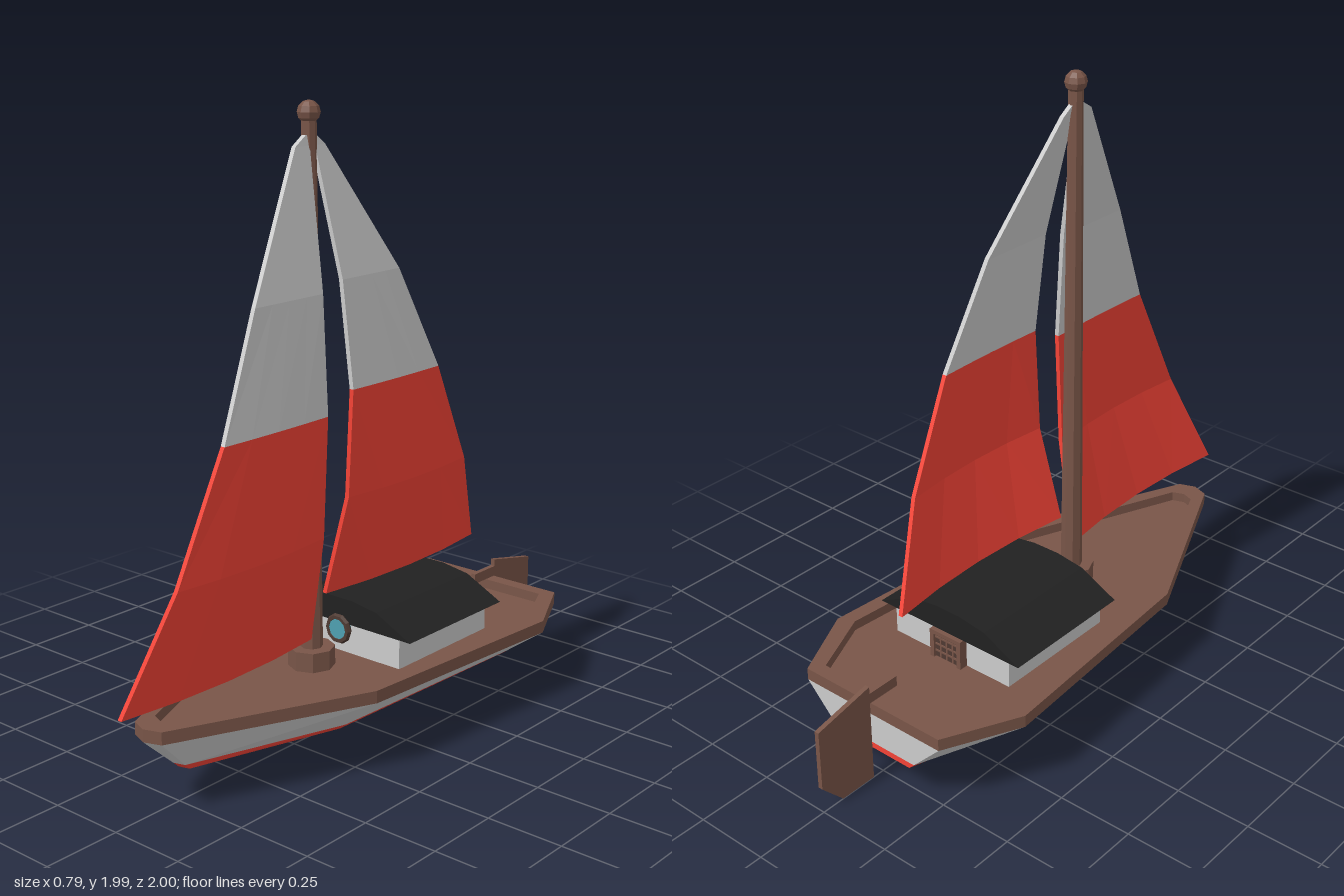
import * as THREE from 'three';

const mat = (color) => new THREE.MeshStandardMaterial({ color, flatShading: true });
const grey = mat(0xcccccc), red = mat(0xf44336), brown = mat(0x795548), black = mat(0x212121);
const teal = mat(0x4f9fb0), dark = mat(0x4e3a32);

function add(parent, name, geometry, material, x = 0, y = 0, z = 0) {
  const mesh = new THREE.Mesh(geometry, material);
  mesh.name = name;
  mesh.position.set(x, y, z);
  parent.add(mesh);
  return mesh;
}

// Closed solid through rings of equal, even length; caps pair point i with point n-1-i
function loft(rings) {
  const tris = [], n = rings[0].length;
  const quad = (a, b, c, d) => tris.push([a, b, c], [a, c, d]);
  for (let r = 0; r < rings.length - 1; r++) {
    for (let i = 0; i < n; i++) {
      const j = (i + 1) % n;
      quad(rings[r][i], rings[r][j], rings[r + 1][j], rings[r + 1][i]);
    }
  }
  const first = rings[0], last = rings[rings.length - 1];
  for (let i = 0; i < n / 2 - 1; i++) {
    quad(first[i], first[n - 1 - i], first[n - 2 - i], first[i + 1]);
    quad(last[i], last[i + 1], last[n - 2 - i], last[n - 1 - i]);
  }
  // a negative volume means the solid is inside out
  let volume = 0;
  const cross = new THREE.Vector3();
  for (const [a, b, c] of tris) volume += a.dot(cross.crossVectors(b, c));
  const points = [];
  for (const [a, b, c] of tris) {
    const area = new THREE.Vector3().subVectors(b, a).cross(cross.subVectors(c, a)).length();
    if (area > 1e-9) points.push(...(volume < 0 ? [a, c, b] : [a, b, c]));
  }
  const geometry = new THREE.BufferGeometry().setFromPoints(points);
  geometry.computeVertexNormals();
  return geometry;
}

// Half outlines [x, z] from bow to stern
const railHalf = [[0, 0.885], [0.055, 0.865], [0.335, 0.25], [0.393, -0.54], [0.272, -0.787]];
const deckHalf = [[0, 0.815], [0.04, 0.8], [0.282, 0.22], [0.34, -0.515], [0.24, -0.74]];
const chineHalf = [[0, 0.75], [0.035, 0.74], [0.19, 0.25], [0.22, -0.54], [0.15, -0.787]];
const keelHalf = [[0, 0.26], [0, 0.26], [0, 0.25], [0, -0.55], [0, -0.55]];

const ring = (half, y) => {
  const side = (s) => half.map(([x, z]) => new THREE.Vector3(s * x, y, z));
  return [...side(1), ...side(-1).reverse()];
};
const planPoints = (half) => [
  ...half.map(([x, z]) => new THREE.Vector2(x, -z)),
  ...half.slice(1).reverse().map(([x, z]) => new THREE.Vector2(-x, -z)),
];
const extrude = (shape, depth) => new THREE.ExtrudeGeometry(shape, { depth, bevelEnabled: false });

function buildHull(boat) {
  const hull = new THREE.Group();
  hull.name = 'hull';
  boat.add(hull);
  const paintLine = railHalf.map(([x, z], i) => [
    THREE.MathUtils.lerp(chineHalf[i][0], x, 0.16), THREE.MathUtils.lerp(chineHalf[i][1], z, 0.16)]);
  add(hull, 'hullSides', loft([ring(paintLine, 0.13), ring(railHalf, 0.235)]), grey);
  add(hull, 'hullBottom', loft([ring(keelHalf, 0.05), ring(chineHalf, 0.11), ring(paintLine, 0.13)]), red);
  const rail = new THREE.Shape(planPoints(railHalf));
  rail.holes.push(new THREE.Path(planPoints(deckHalf)));
  add(hull, 'rail', extrude(rail, 0.04).rotateX(-Math.PI / 2), brown, 0, 0.235, 0);
  add(hull, 'deck', extrude(new THREE.Shape(planPoints(deckHalf)), 0.012).rotateX(-Math.PI / 2), brown, 0, 0.23, 0);
}

function buildCabin(boat) {
  const cabin = new THREE.Group();
  cabin.name = 'cabin';
  boat.add(cabin);
  add(cabin, 'cabinWalls', new THREE.BoxGeometry(0.47, 0.11, 0.45), grey, 0, 0.292, -0.205);
  // Arched roof
  const arch = [[-0.285, 0.343], [0.285, 0.343], [0.15, 0.41], [0.05, 0.425], [-0.05, 0.425], [-0.15, 0.41]];
  const roof = new THREE.Shape(arch.map(([x, y]) => new THREE.Vector2(x, y)));
  add(cabin, 'roof', extrude(roof, 0.475), black, 0, 0, -0.445);
  // Round window in the front wall
  add(cabin, 'windowFrame', new THREE.TorusGeometry(0.04, 0.011, 6, 10), dark, 0, 0.322, 0.035);
  add(cabin, 'windowGlass', new THREE.CylinderGeometry(0.04, 0.04, 0.03, 10).rotateX(Math.PI / 2), teal, 0, 0.322, 0.028);
  // Framed lattice door in the back wall
  const door = new THREE.Group();
  door.name = 'door';
  door.position.set(0, 0.29, -0.44);
  cabin.add(door);
  add(door, 'doorPanel', new THREE.BoxGeometry(0.1, 0.1, 0.02), dark);
  for (const s of [-1, 1]) add(door, 'doorPost', new THREE.BoxGeometry(0.016, 0.1, 0.04), brown, s * 0.055, 0, 0);
  add(door, 'doorLintel', new THREE.BoxGeometry(0.126, 0.014, 0.04), brown, 0, 0.045, 0);
  for (let i = -1; i <= 1; i++) {
    add(door, 'latticeBar', new THREE.BoxGeometry(0.006, 0.09, 0.026), brown, i * 0.025, 0, 0);
    add(door, 'latticeBar', new THREE.BoxGeometry(0.1, 0.006, 0.026), brown, 0, i * 0.025, 0);
  }
}

function buildMast(boat) {
  const mast = new THREE.Group();
  mast.name = 'mast';
  mast.position.z = 0.165;
  boat.add(mast);
  add(mast, 'mastBase', new THREE.CylinderGeometry(0.074, 0.074, 0.07, 8), brown, 0, 0.27, 0);
  add(mast, 'mastPole', new THREE.CylinderGeometry(0.023, 0.036, 1.69, 8), brown, 0, 1.085, 0);
  add(mast, 'mastBall', new THREE.SphereGeometry(0.035, 8, 6), brown, 0, 1.955, 0);
}

// Thin bellied sail; rows are [y, z at mast, z at outer edge, x at edges, extra belly]
function sail(rows) {
  const columns = 4, thickness = 0.015;
  return loft(rows.map(([y, zIn, zOut, x, belly]) => {
    const face = (dx) => Array.from({ length: columns + 1 }, (_, i) => {
      const t = i / columns;
      return new THREE.Vector3(x + dx + belly * 4 * t * (1 - t), y, zIn + (zOut - zIn) * t);
    });
    return [...face(0), ...face(thickness).reverse()];
  }));
}

function buildSails(boat) {
  const sails = {
    foreSail: [
      [0.35, 0.21, 1.0, 0.025, 0.03], [0.7, 0.23, 0.84, 0.095, 0.02], [1.08, 0.23, 0.665, 0.113, 0.004],
      [1.44, 0.213, 0.5, 0.08, 0], [1.86, 0.178, 0.24, 0.0, 0], [1.89, 0.167, 0.19, -0.005, 0]],
    aftSail: [
      [0.48, 0.14, -0.615, 0.025, 0.03], [0.8, 0.115, -0.47, 0.095, 0.02], [1.14, 0.115, -0.3, 0.113, 0.004],
      [1.47, 0.125, -0.14, 0.08, 0], [1.86, 0.155, 0.11, 0.0, 0], [1.89, 0.163, 0.145, -0.005, 0]],
  };
  for (const [name, rows] of Object.entries(sails)) {
    const group = new THREE.Group();
    group.name = name;
    boat.add(group);
    add(group, name + 'Lower', sail(rows.slice(0, 3)), red);
    add(group, name + 'Upper', sail(rows.slice(2)), grey);
  }
}

function buildRudder(boat) {
  const rudder = new THREE.Group();
  rudder.name = 'rudder';
  boat.add(rudder);
  // Blade drawn as [-z, y], then turned to stand along the keel line
  const outline = [[0.79, 0], [0.92, 0], [1, 0.085], [1, 0.29], [0.79, 0.335]];
  const blade = new THREE.Shape(outline.map(([z, y]) => new THREE.Vector2(z, y)));
  add(rudder, 'rudderBlade', extrude(blade, 0.016).rotateY(Math.PI / 2), brown);
  add(rudder, 'tiller', new THREE.BoxGeometry(0.016, 0.035, 0.13), brown, 0.008, 0.293, -0.74);
}

export function createModel() {
  const boat = new THREE.Group();
  boat.name = 'sailboat';
  buildHull(boat);
  buildCabin(boat);
  buildMast(boat);
  buildSails(boat);
  buildRudder(boat);
  return boat;
}
